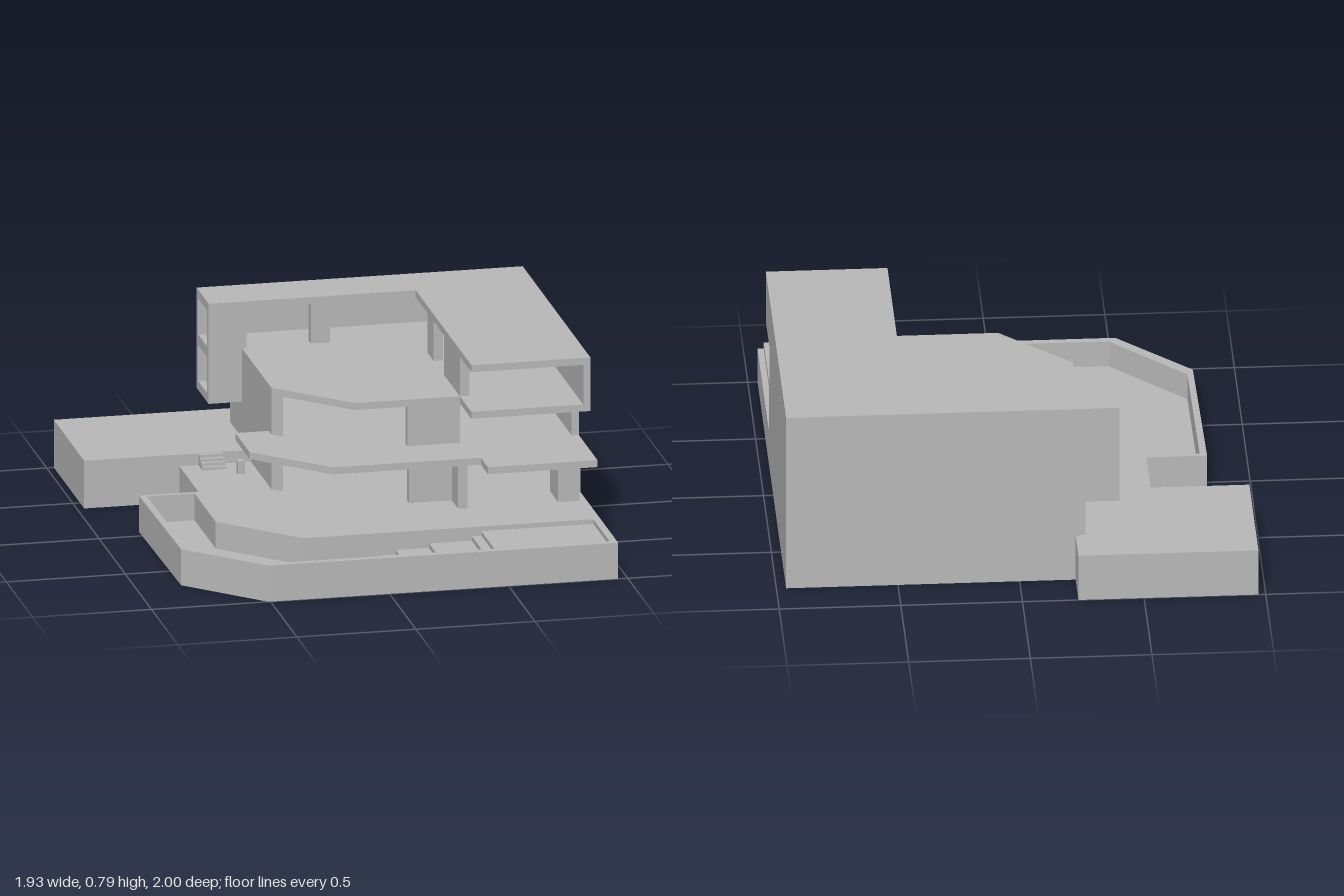
import * as THREE from 'three';

const concrete = new THREE.MeshStandardMaterial({ color: 0xb8b8b8, side: THREE.DoubleSide });
concrete.name = 'concrete grey';

// Plan outlines are lists of [x, z]
const toPlan = (pts) => pts.map(([x, z]) => new THREE.Vector2(x, -z));

export function createModel() {
  const model = new THREE.Group();
  model.name = 'terracedHouse';

  const add = (name, geometry) => {
    const mesh = new THREE.Mesh(geometry, concrete);
    mesh.name = name;
    model.add(mesh);
    return mesh;
  };
  // Solid prism over a plan outline
  const slab = (name, pts, y0, y1) => {
    const g = new THREE.ExtrudeGeometry(new THREE.Shape(toPlan(pts)), { depth: y1 - y0, bevelEnabled: false });
    g.rotateX(-Math.PI / 2).translate(0, y0, 0);
    return add(name, g);
  };
  // Flat sheet over a plan outline, with an optional hole
  const sheet = (name, pts, y, hole) => {
    const shape = new THREE.Shape(toPlan(pts));
    if (hole) shape.holes.push(new THREE.Path(toPlan(hole)));
    add(name, new THREE.ShapeGeometry(shape).rotateX(-Math.PI / 2).translate(0, y, 0));
  };
  // Thin vertical skin following a closed outline
  const skin = (name, pts, y0, y1) => {
    const pos = [];
    pts.forEach(([ax, az], i) => {
      const [bx, bz] = pts[(i + 1) % pts.length];
      pos.push(ax, y0, az, bx, y0, bz, bx, y1, bz, ax, y0, az, bx, y1, bz, ax, y1, az);
    });
    const g = new THREE.BufferGeometry();
    g.setAttribute('position', new THREE.Float32BufferAttribute(pos, 3));
    g.computeVertexNormals();
    add(name, g);
  };
  const block = (name, x0, x1, y0, y1, z0, z1) => add(name,
    new THREE.BoxGeometry(x1 - x0, y1 - y0, z1 - z0).translate((x0 + x1) / 2, (y0 + y1) / 2, (z0 + z1) / 2));

  // Hollow base with a sunken trough around the front
  const DECK = 0.155, DEEP = 0.04;
  const base = [[-0.82, -0.06], [-0.81, 0.7], [-0.51, 1], [0.96, 1], [0.96, -0.82],
    [-0.27, -0.82], [-0.27, -0.42], [-0.57, -0.42], [-0.57, -0.06]];
  const trough = [[-0.79, -0.04], [-0.785, 0.66], [-0.48, 0.97], [0.93, 0.97], [0.93, 0.66],
    [-0.29, 0.66], [-0.59, 0.36], [-0.59, -0.04]];
  skin('baseWalls', base, 0, DECK);
  sheet('deck', base, DECK, trough);
  skin('troughWalls', trough, DEEP, DECK);
  sheet('troughFloor', [[-0.79, -0.04], [-0.785, 0.66], [-0.48, 0.97], [0.04, 0.97], [0.04, 0.66],
    [-0.29, 0.66], [-0.59, 0.36], [-0.59, -0.04]], DEEP);

  // Steps climbing along the trough
  const stepX = [0.04, 0.1, 0.24, 0.42, 0.46, 0.93];
  for (let i = 0; i < 5; i++) {
    const y = DEEP + 0.019 * (i + 1);
    sheet('troughStep', [[stepX[i], 0.66], [stepX[i], 0.97], [stepX[i + 1], 0.97], [stepX[i + 1], 0.66]], y);
    const riser = new THREE.PlaneGeometry(0.31, 0.019).rotateY(-Math.PI / 2);
    add('troughRiser', riser.translate(stepX[i], y - 0.0095, 0.815));
  }

  // Garage, open below
  const garage = [[-0.97, -1], [-0.97, -0.42], [-0.23, -0.42], [-0.23, -1]];
  skin('garageWalls', garage, 0, 0.205);
  sheet('garageRoof', garage, 0.205);

  // Entrance stair and little post
  for (let i = 0; i < 4; i++) {
    block('entranceStep', -0.49, -0.39, DECK, 0.203 - i * 0.012, -0.42 + i * 0.02, -0.4 + i * 0.02);
  }
  block('gatePost', -0.36, -0.33, DECK, 0.21, -0.29, -0.26);

  // Floor slabs and roof
  slab('lowerTerrace', [[-0.41, -0.82], [-0.41, -0.59], [-0.27, -0.59], [-0.27, -0.08], [-0.41, -0.08],
    [-0.41, 0.19], [-0.12, 0.47], [0.5, 0.47], [0.5, 0.605], [0.96, 0.605], [0.96, -0.82]], 0.36, 0.39);
  slab('upperTerrace', [[-0.41, -0.82], [-0.41, -0.59], [-0.27, -0.59], [-0.27, -0.03], [0.02, 0.25],
    [0.46, 0.25], [0.46, 0.47], [0.96, 0.47], [0.96, -0.82]], 0.56, 0.59);
  slab('roof', [[-0.41, -0.82], [-0.41, -0.59], [0.46, -0.59], [0.46, 0.47], [0.96, 0.47], [0.96, -0.82]], 0.76, 0.79);

  // Back, right and left walls on each storey: [bottom, top, back wall start x, right wall end z]
  const storeys = [[DECK, 0.36, -0.27, 0.28], [0.39, 0.56, -0.41, 0.25], [0.59, 0.76, -0.41, 0.47]];
  storeys.forEach(([y0, y1, x0, z1], i) => {
    block('backWall', x0, 0.96, y0, y1, -0.82, -0.79);
    block('rightWall', 0.93, 0.96, y0, y1, -0.79, z1);
    if (i < 2) {
      const back = i === 0 ? -0.79 : -0.62;
      slab('leftWall', [[-0.27, back], [-0.27, -0.03], [-0.23, 0.01], [-0.23, back]], y0, y1);
    }
  });

  // Ground storey front: pier and projecting fins
  block('groundPier', 0.24, 0.42, DECK, 0.36, 0.24, 0.28);
  block('groundFin', 0.42, 0.46, DECK, 0.36, 0.24, 0.4);
  block('groundFin', 0.84, 0.93, DECK, 0.36, 0.24, 0.4);

  // Middle storey front pier and overhanging end
  block('middlePier', 0.24, 0.46, 0.39, 0.56, 0.21, 0.25);
  block('middleEndWall', -0.41, -0.27, 0.39, 0.56, -0.62, -0.59);

  // Top storey walls around the terrace and the balcony
  block('topEndWall', -0.41, -0.25, 0.59, 0.76, -0.62, -0.59);
  block('topPier', 0.02, 0.1, 0.59, 0.76, -0.64, -0.59);
  block('wingPier', 0.46, 0.5, 0.59, 0.76, -0.37, -0.25);
  block('wingPier', 0.46, 0.5, 0.59, 0.76, -0.05, 0.25);

  // Narrow frames around the openings in the overhanging end
  for (const [y0, y1] of [[0.39, 0.56], [0.59, 0.76]]) {
    block('endFrameTop', -0.41, -0.38, y1 - 0.008, y1, -0.79, -0.62);
    block('endFrameSill', -0.41, -0.38, y0, y0 + 0.008, -0.79, -0.62);
  }
  return model;
}
